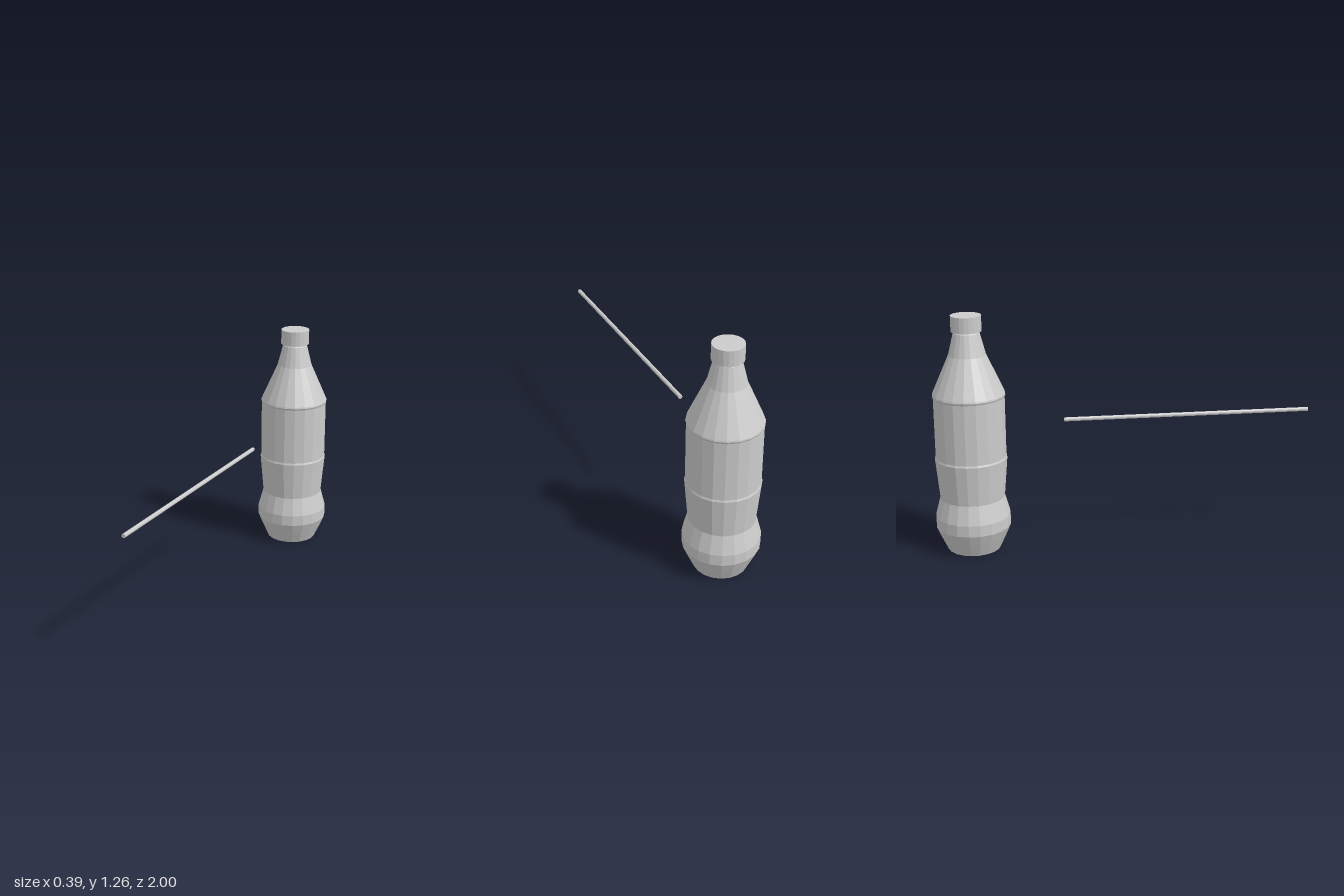
import * as THREE from 'three';

const SIDES = 20;
const material = new THREE.MeshStandardMaterial({ color: 0xcccccc, flatShading: true });

// Faceted turned part; radii are measured across the flats
function turned(name, profile) {
  const k = 1 / Math.cos(Math.PI / SIDES);
  const points = profile.map(([r, y]) => new THREE.Vector2(r * k, y));
  const mesh = new THREE.Mesh(new THREE.LatheGeometry(points, SIDES, Math.PI / SIDES), material);
  mesh.name = name;
  return mesh;
}

export function createModel() {
  const model = new THREE.Group();
  model.name = 'bottleAndStick';

  const bottle = new THREE.Group();
  bottle.name = 'bottle';
  bottle.position.z = -0.805;
  model.add(bottle);

  // Body: base, bulge, waist, recessed label band, shoulder and neck
  bottle.add(turned('body', [
    [0, 0], [0.138, 0], [0.174, 0.08], [0.195, 0.13], [0.195, 0.19],
    [0.168, 0.29], [0.187, 0.505], [0.183, 0.515], [0.183, 0.835],
    [0.187, 0.845], [0.185, 0.853], [0.096, 1.055], [0.067, 1.17],
    [0.062, 1.175], [0.062, 1.2], [0, 1.2],
  ]));

  // Screw cap
  bottle.add(turned('cap', [[0, 1.178], [0.078, 1.178], [0.078, 1.26], [0, 1.26]]));

  // Thin round stick lying along z in front of the bottle
  const stick = new THREE.Mesh(new THREE.CylinderGeometry(0.011, 0.011, 1.315, 12), material);
  stick.name = 'stick';
  stick.rotation.x = Math.PI / 2;
  stick.position.set(-0.016, 0.692, 0.3425);
  model.add(stick);

  return model;
}
